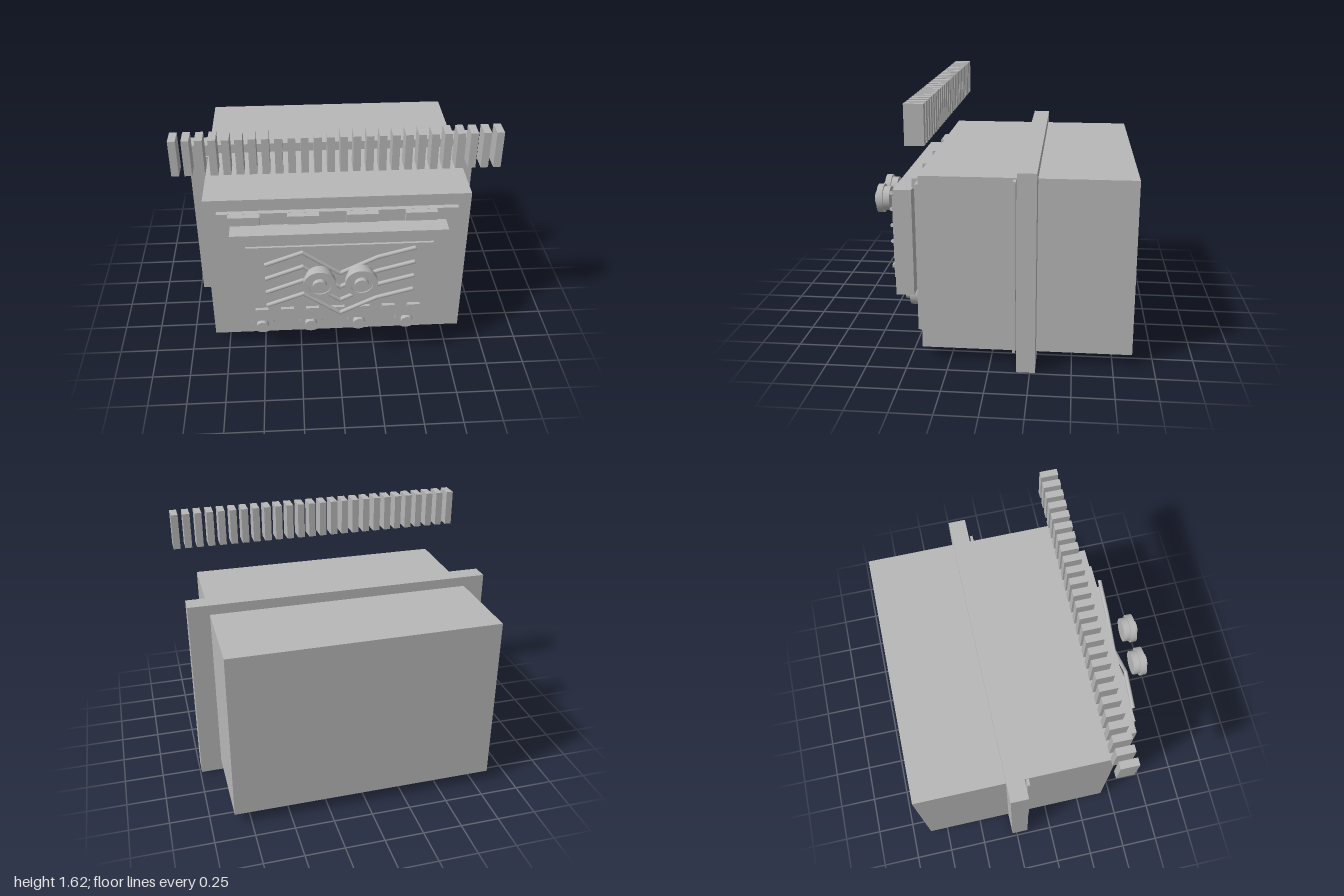
import * as THREE from 'three';
import { toCreasedNormals } from 'three/addons/utils/BufferGeometryUtils.js';

export function createModel() {
  const model = new THREE.Group();
  const grey = new THREE.MeshStandardMaterial({ color: 0xb8b8b8 });
  grey.name = 'plain grey';

  const add = (name, geometry, parent = model) => {
    const mesh = new THREE.Mesh(geometry, grey);
    mesh.name = name;
    parent.add(mesh);
    return mesh;
  };
  const group = (name) => {
    const g = new THREE.Group();
    g.name = name;
    model.add(g);
    return g;
  };
  // Box given by its limits on each axis
  const box = (name, [x0, x1], [y0, y1], [z0, z1], parent) =>
    add(name, new THREE.BoxGeometry(x1 - x0, y1 - y0, z1 - z0), parent)
      .position.set((x0 + x1) / 2, (y0 + y1) / 2, (z0 + z1) / 2);
  // Turned part facing +z, from [radius, z] points running back to front
  const turned = (name, profile, x, y, parent) => {
    const points = profile.map(([r, z]) => new THREE.Vector2(r, z));
    const geo = new THREE.LatheGeometry(points, 32).rotateX(Math.PI / 2);
    add(name, toCreasedNormals(geo, 0.6), parent).position.set(x, y, 0);
  };

  // Cabinet, surrounding frame and thin gasket
  box('cabinet', [-0.843, 0.854], [0.075, 1.176], [-0.868, 0.425]);
  box('wallFrame', [-0.98, 0.99], [0, 1.24], [-0.282, -0.168]);
  box('gasket', [-0.885, 0.9], [0.08, 1.166], [-0.155, -0.138]);

  // Stacked front panels
  box('backPlate', [-0.76, 0.77], [0.15, 1.098], [0.432, 0.465]);
  box('doorPanel', [-0.675, 0.685], [0.345, 1.038], [0.503, 0.618]);
  box('doorInset', [-0.58, 0.59], [0.423, 0.965], [0.63, 0.646]);

  // Vent tabs above the door
  const tabs = group('ventTabs');
  for (let i = 0; i < 4; i++) {
    const x = -0.588 + i * 0.3725;
    box('ventTab', [x - 0.1, x + 0.1], [1.03, 1.098], [0.466, 0.509], tabs);
  }

  // Row of small dashes along the bottom of the door
  const dashes = group('dashes');
  for (let i = 0; i < 7; i++) {
    const x = -0.5 + i * 0.1642;
    box('dash', [x - 0.042, x + 0.042], [0.463, 0.487], [0.652, 0.674], dashes);
  }

  // Four zigzag rods built from straight lengths with rounded joints
  const rods = group('zigzagRods');
  const zigzag = [[-0.463, 0.53], [-0.229, 0.618], [0.005, 0.446], [0.24, 0.564], [0.473, 0.628]];
  const R = 0.0135;
  const up = new THREE.Vector3(0, 1, 0);
  for (let row = 0; row < 4; row++) {
    const pts = zigzag.map(([x, y]) => new THREE.Vector3(x, y + row * 0.109, 0.678));
    for (let i = 0; i < pts.length - 1; i++) {
      const dir = pts[i + 1].clone().sub(pts[i]);
      const rod = add('rod', new THREE.CylinderGeometry(R, R, dir.length(), 10), rods);
      rod.position.copy(pts[i]).addScaledVector(dir, 0.5);
      rod.quaternion.setFromUnitVectors(up, dir.normalize());
      if (i > 0) add('rodJoint', new THREE.SphereGeometry(R, 10, 8), rods).position.copy(pts[i]);
    }
  }

  // Pair of large round eyes with flange, recessed ring and centre button
  const eyes = group('eyes');
  const eye = [[0, 0.758], [0.084, 0.758], [0.084, 0.803], [0.099, 0.803], [0.099, 0.844],
    [0.07, 0.844], [0.07, 0.836], [0.044, 0.836], [0.044, 0.865], [0, 0.865]];
  for (const x of [-0.13, 0.125]) turned('eye', eye, x, 0.815, eyes);

  // Four control knobs below the door
  const knobs = group('knobs');
  const knob = [[0, 0.487], [0.077, 0.487], [0.077, 0.563], [0.04, 0.563], [0.04, 0.598], [0, 0.598]];
  for (let i = 0; i < 4; i++) turned('knob', knob, -0.505 + i * 0.3227, 0.268, knobs);

  // Row of upright fins floating above the front
  const fins = group('topFins');
  for (let i = 0; i < 26; i++) {
    const x = -0.977 + i * 0.07816;
    box('fin', [x - 0.023, x + 0.023], [1.387, 1.625], [0.35, 0.464], fins);
  }
  return model;
}
